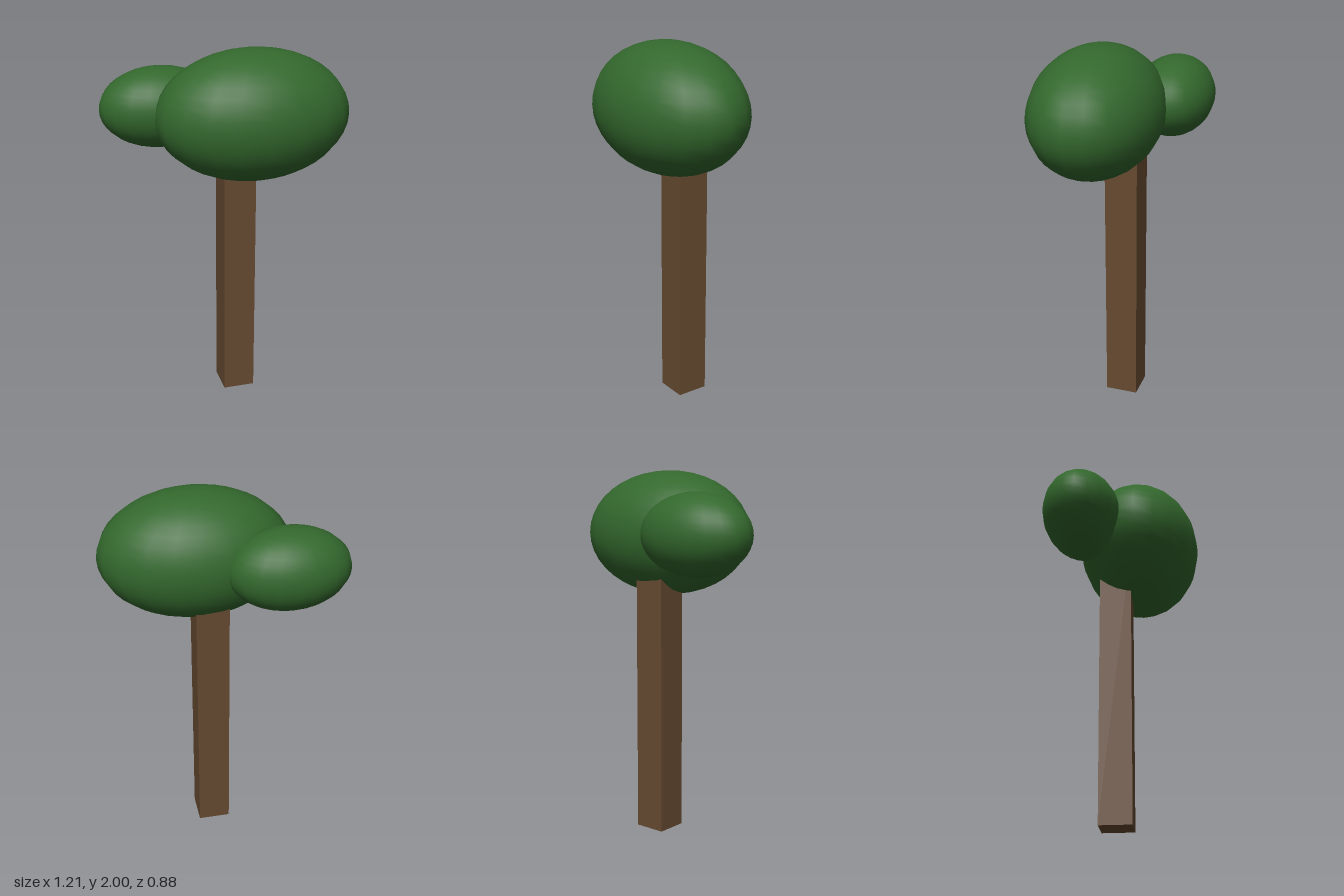
import * as THREE from 'three';

const TURN = THREE.MathUtils.degToRad(46.3);

export function createModel() {
  const tree = new THREE.Group();
  tree.name = 'tree';
  const bark = new THREE.MeshStandardMaterial({ color: 0x664a30 });
  const leaf = new THREE.MeshStandardMaterial({ color: 0x33682d });

  // Square trunk, its top buried in the large crown
  const trunk = new THREE.Mesh(new THREE.BoxGeometry(0.177, 1.6, 0.177), bark);
  trunk.name = 'trunk';
  trunk.position.set(0.04, 0.8, -0.055);
  trunk.rotation.y = TURN;
  tree.add(trunk);

  // Leaf crowns: spheres stretched by half along one horizontal axis
  const addCrown = (name, radius, x, y, z) => {
    const geometry = new THREE.SphereGeometry(radius, 20, 20).scale(1.5, 1, 1);
    const crown = new THREE.Mesh(geometry, leaf);
    crown.name = name;
    crown.position.set(x, y, z);
    crown.rotation.y = TURN;
    tree.add(crown);
  };
  addCrown('largeCrown', 0.342, 0.172, 1.658, 0);
  addCrown('smallCrown', 0.216, -0.334, 1.658, 0.11);

  return tree;
}
